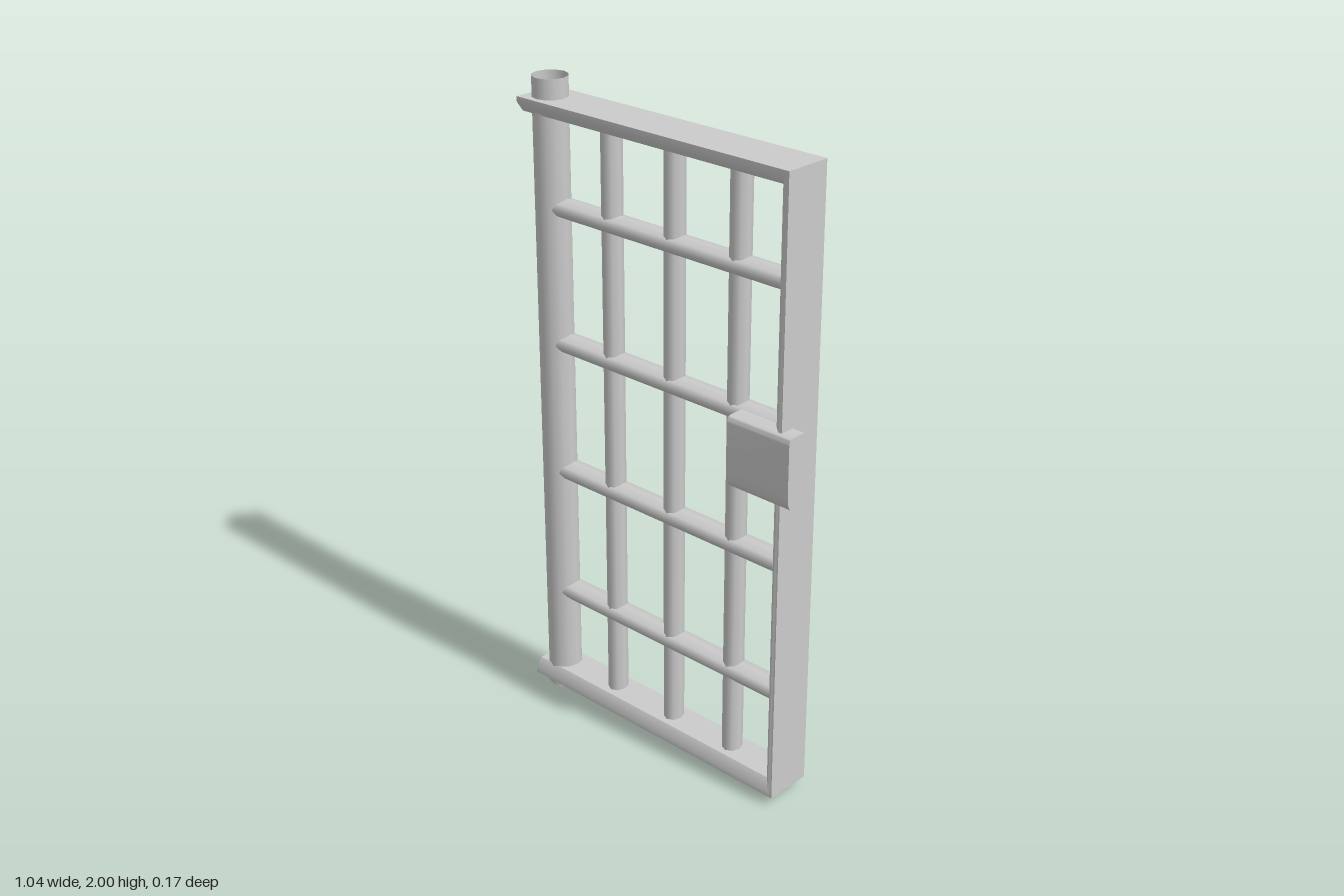
import * as THREE from 'three';
import { toCreasedNormals } from 'three/addons/utils/BufferGeometryUtils.js';

const material = new THREE.MeshStandardMaterial({ color: 0xcccccc, side: THREE.DoubleSide });

function addMesh(parent, name, geometry) {
  const mesh = new THREE.Mesh(geometry, material);
  mesh.name = name;
  parent.add(mesh);
  return mesh;
}

// Three-sided frame: a bevelled flat bar swept along a mitred U
function frameGeometry() {
  // cross-section as [z, inset from the outer face]
  const profile = [[-0.083, 0], [0.067, 0], [0.067, 0.016], [0.045, 0.046], [-0.061, 0.046], [-0.083, 0.016]];
  const left = -0.52, right = 0.48, top = 1.94, bottom = 0.03;
  const corners = [
    t => [left, top - t],
    t => [right - t * 0.8, top - t],
    t => [right - t * 0.8, bottom + t],
    t => [left, bottom + t],
  ];
  const n = profile.length;
  const positions = [];
  for (const corner of corners) {
    for (const [z, t] of profile) positions.push(...corner(t), z);
  }
  const index = [];
  for (let i = 0; i < corners.length - 1; i++) {
    for (let j = 0; j < n; j++) {
      const k = (j + 1) % n;
      const a = i * n + j, b = i * n + k, c = b + n, d = a + n;
      index.push(a, b, c, a, c, d);
    }
  }
  // end caps
  const last = (corners.length - 1) * n;
  for (let j = 1; j < n - 1; j++) {
    index.push(0, j + 1, j, last, last + j, last + j + 1);
  }
  const geometry = new THREE.BufferGeometry();
  geometry.setAttribute('position', new THREE.Float32BufferAttribute(positions, 3));
  geometry.setIndex(index);
  geometry.computeVertexNormals();
  return toCreasedNormals(geometry, 0.7);
}

// Oval bar standing along y
function barGeometry(length, rx, rz) {
  return new THREE.CylinderGeometry(1, 1, length, 8).scale(rx, 1, rz);
}

// Lock plate: side profile with a softened front, extruded across x
function lockGeometry() {
  const x0 = 0.3, x1 = 0.52;
  const shape = new THREE.Shape();
  shape.moveTo(0.022, 1.0);
  shape.lineTo(0.07, 1.0);
  shape.quadraticCurveTo(0.083, 1.01, 0.083, 1.05);
  shape.lineTo(0.083, 1.195);
  shape.quadraticCurveTo(0.083, 1.213, 0.072, 1.215);
  shape.lineTo(0.022, 1.215);
  const geometry = new THREE.ExtrudeGeometry(shape, { depth: x1 - x0, bevelEnabled: false, curveSegments: 4 });
  geometry.rotateY(-Math.PI / 2).scale(1, 1, 1).translate(x1, 0, 0);
  return toCreasedNormals(geometry, 0.7);
}

export function createModel() {
  const group = new THREE.Group();
  group.name = 'barredDoor';

  // Hollow hinge post
  addMesh(group, 'hingePost', new THREE.CylinderGeometry(0.054, 0.054, 2, 12, 1, true))
    .position.set(-0.457, 1, -0.004);

  addMesh(group, 'frame', frameGeometry());

  // Upright bars
  const uprights = new THREE.Group();
  uprights.name = 'uprightBars';
  for (const x of [-0.22, 0.02, 0.26]) {
    addMesh(uprights, 'uprightBar', barGeometry(1.84, 0.029, 0.034)).position.set(x, 0.985, -0.008);
  }
  group.add(uprights);

  // Cross bars, deeper than the uprights
  const crossBars = new THREE.Group();
  crossBars.name = 'crossBars';
  for (const y of [0.353, 0.775, 1.197, 1.618]) {
    const bar = addMesh(crossBars, 'crossBar', barGeometry(0.875, 0.027, 0.045));
    bar.rotation.z = Math.PI / 2;
    bar.position.set(0.0175, y, -0.008);
  }
  group.add(crossBars);

  addMesh(group, 'lockPlate', lockGeometry());
  return group;
}
